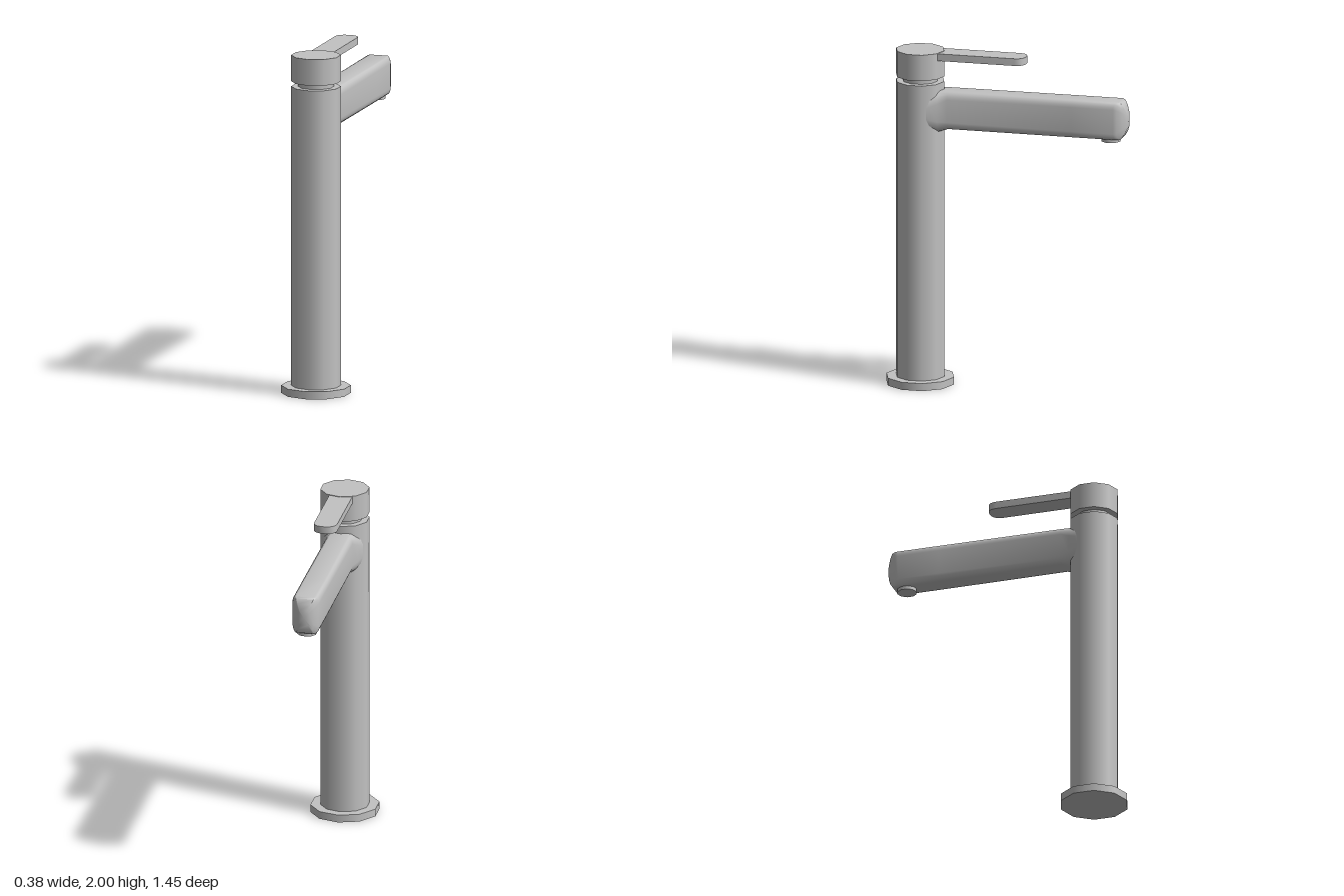
import * as THREE from 'three';
import { toCreasedNormals } from 'three/addons/utils/BufferGeometryUtils.js';

const COLUMN_Z = 0.525;

// Rounded-rectangle cross-section, counter-clockwise, as [x, y] offsets
function roundedSection(hw, hh, rx, ry, steps = 4) {
  const ring = [];
  [[1, 1], [-1, 1], [-1, -1], [1, -1]].forEach(([sx, sy], q) => {
    for (let k = 0; k <= steps; k++) {
      const a = (q + k / steps) * Math.PI / 2;
      ring.push([sx * (hw - rx) + rx * Math.cos(a), sy * (hh - ry) + ry * Math.sin(a)]);
    }
  });
  return ring;
}

// Spout lofted from its flared root to a domed tip
function spoutGeometry() {
  const rings = [];
  // z, half width, top, bottom, corner radii
  const sections = [
    [0.47, 0.125, 1.775, 1.51, 0.09, 0.1],
    [0.44, 0.115, 1.775, 1.515, 0.08, 0.09],
    [0.4, 0.1, 1.77, 1.525, 0.06, 0.07],
    [0.345, 0.08, 1.77, 1.545, 0.03, 0.045],
    [-0.4, 0.08, 1.77, 1.545, 0.025, 0.04],
  ];
  for (const [z, hw, top, bottom, rx, ry] of sections) {
    const mid = (top + bottom) / 2;
    rings.push(roundedSection(hw, (top - bottom) / 2, rx, ry).map(([x, y]) => [x, y + mid, z]));
  }
  // Tip rings shrink over a surface curved in both plan and side view
  const tip = roundedSection(0.08, 0.1125, 0.025, 0.04);
  for (const s of [1, 0.94, 0.7, 0.4, 0]) {
    rings.push(tip.map(([px, py]) => {
      const x = px * s, y = py * s;
      const z = -0.727 + 0.06 * Math.abs(x / 0.08) ** 2.6 + 0.018 * (y / 0.1125) ** 2;
      return [x, y + 1.6575, s === 1 ? z + 0.01 : z];
    }));
  }
  const n = tip.length, index = [];
  for (let j = 0; j < rings.length - 1; j++) {
    for (let i = 0; i < n; i++) {
      const a = j * n + i, b = j * n + (i + 1) % n;
      index.push(a, a + n, b);
      if (j < rings.length - 2) index.push(b, a + n, b + n);
    }
  }
  const geo = new THREE.BufferGeometry();
  geo.setAttribute('position', new THREE.Float32BufferAttribute(rings.flat(2), 3));
  geo.setIndex(index);
  return toCreasedNormals(geo, 0.75);
}

// Flat lever with a rounded end
function leverGeometry() {
  const w = 0.068, end = 0.113, shape = new THREE.Shape();
  shape.moveTo(-w, -0.43);
  shape.lineTo(w, -0.43);
  shape.lineTo(w, 0.055);
  shape.bezierCurveTo(w, 0.09, 0.045, end, 0, end);
  shape.bezierCurveTo(-0.045, end, -w, 0.09, -w, 0.055);
  const geo = new THREE.ExtrudeGeometry(shape, { depth: 0.043, bevelEnabled: false, curveSegments: 5 });
  geo.rotateX(-Math.PI / 2);
  return toCreasedNormals(geo, 0.7);
}

export function createModel() {
  const group = new THREE.Group();
  group.name = 'tallBasinTap';
  const metal = new THREE.MeshStandardMaterial({ color: 0xc2c2c2 });
  metal.name = 'brushedMetal';

  const add = (name, geometry) => {
    const mesh = new THREE.Mesh(geometry, metal);
    mesh.name = name;
    group.add(mesh);
    return mesh;
  };
  const disc = (name, r, y0, y1, z = COLUMN_Z, sides = 10) =>
    add(name, new THREE.CylinderGeometry(r, r, y1 - y0, sides)).position.set(0, (y0 + y1) / 2, z);

  // Upright ten-sided parts
  disc('baseFlange', 0.202, 0, 0.045);
  disc('column', 0.144, 0.045, 1.815);
  disc('neck', 0.104, 1.805, 1.855);
  disc('handleCap', 0.144, 1.845, 2);

  // Parts reaching out to the back
  add('lever', leverGeometry()).position.y = 1.954;
  add('spout', spoutGeometry());
  disc('aerator', 0.058, 1.525, 1.56, -0.618);

  return group;
}
